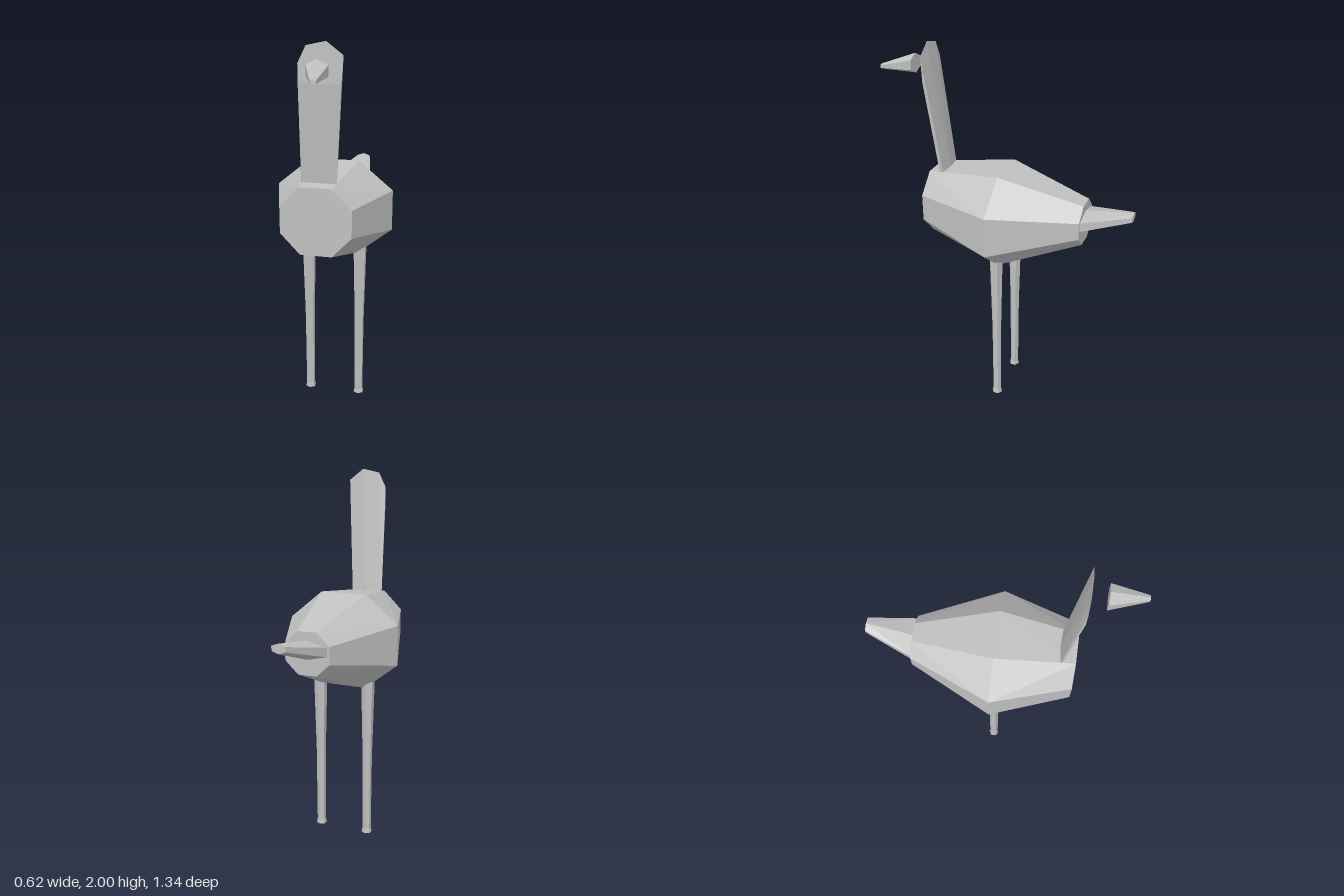
import * as THREE from 'three';
import { ConvexGeometry } from 'three/addons/geometries/ConvexGeometry.js';

const V = (x, y, z) => new THREE.Vector3(x, y, z);

// Ring of eight corners: half widths of the flats and sides, heights from bottom to top
function octagon(z, flat, side, [bottom, low, high, top]) {
  return [1, -1].flatMap((s) => [
    V(s * flat, bottom, z), V(s * side, low, z), V(s * side, high, z), V(s * flat, top, z),
  ]);
}

// Ring of six corners, pointed at the top and bottom
function hexagon(x, y, z, rx, ry) {
  return Array.from({ length: 6 }, (_, i) => {
    const a = Math.PI / 6 + (i * Math.PI) / 3;
    return V(x + (rx * Math.cos(a)) / Math.cos(Math.PI / 6), y + ry * Math.sin(a), z);
  });
}

export function createModel() {
  const model = new THREE.Group();
  const grey = new THREE.MeshStandardMaterial({ color: 0xc0c0c0 });
  grey.name = 'grey';
  grey.flatShading = true;

  function add(name, geometry) {
    const mesh = new THREE.Mesh(geometry, grey);
    mesh.name = name;
    model.add(mesh);
    return mesh;
  }

  // Faceted body: front, middle and back rings
  add('body', new ConvexGeometry([
    ...octagon(0.42, 0.08, 0.18, [0.975, 1.08, 1.22, 1.32]),
    ...octagon(0.015, 0.128, 0.31, [0.855, 1.0, 1.215, 1.365]),
    ...octagon(-0.42, 0.05, 0.12, [1.025, 1.09, 1.18, 1.245]),
  ]));

  // Tapering tail
  add('tail', new ConvexGeometry([
    ...hexagon(0, 1.153, -0.42, 0.107, 0.048),
    ...hexagon(0.017, 1.215, -0.67, 0.037, 0.025),
  ]));

  // Thin neck and head, leaning forward to an upright face
  add('neckAndHead', new ConvexGeometry([
    V(-0.09, 1.31, 0.342), V(0, 1.31, 0.331), V(0.085, 1.31, 0.337),
    V(-0.085, 1.31, 0.353), V(0.09, 1.31, 0.353),
    V(-0.08, 1.81, 0.41), V(0.125, 1.81, 0.41),
    V(-0.08, 1.9, 0.41), V(-0.04, 1.98, 0.41), V(0.055, 2.0, 0.41), V(0.135, 1.94, 0.41),
  ]));

  // Beak, set forward of the head
  add('beak', new ConvexGeometry([
    ...hexagon(0.033, 1.88, 0.49, 0.053, 0.05),
    ...hexagon(0.063, 1.853, 0.67, 0.013, 0.013),
  ]));

  // Slender legs with slightly flared feet
  const profile = [[0, 0], [0.029, 0], [0.024, 0.025], [0.026, 0.45], [0.037, 0.9], [0, 0.92]];
  const legGeometry = new THREE.LatheGeometry(profile.map(([r, y]) => new THREE.Vector2(r, y)), 6);
  for (const [name, x] of [['leftLeg', 0.14], ['rightLeg', -0.143]]) {
    add(name, legGeometry).position.set(x, 0, 0.02);
  }

  return model;
}
